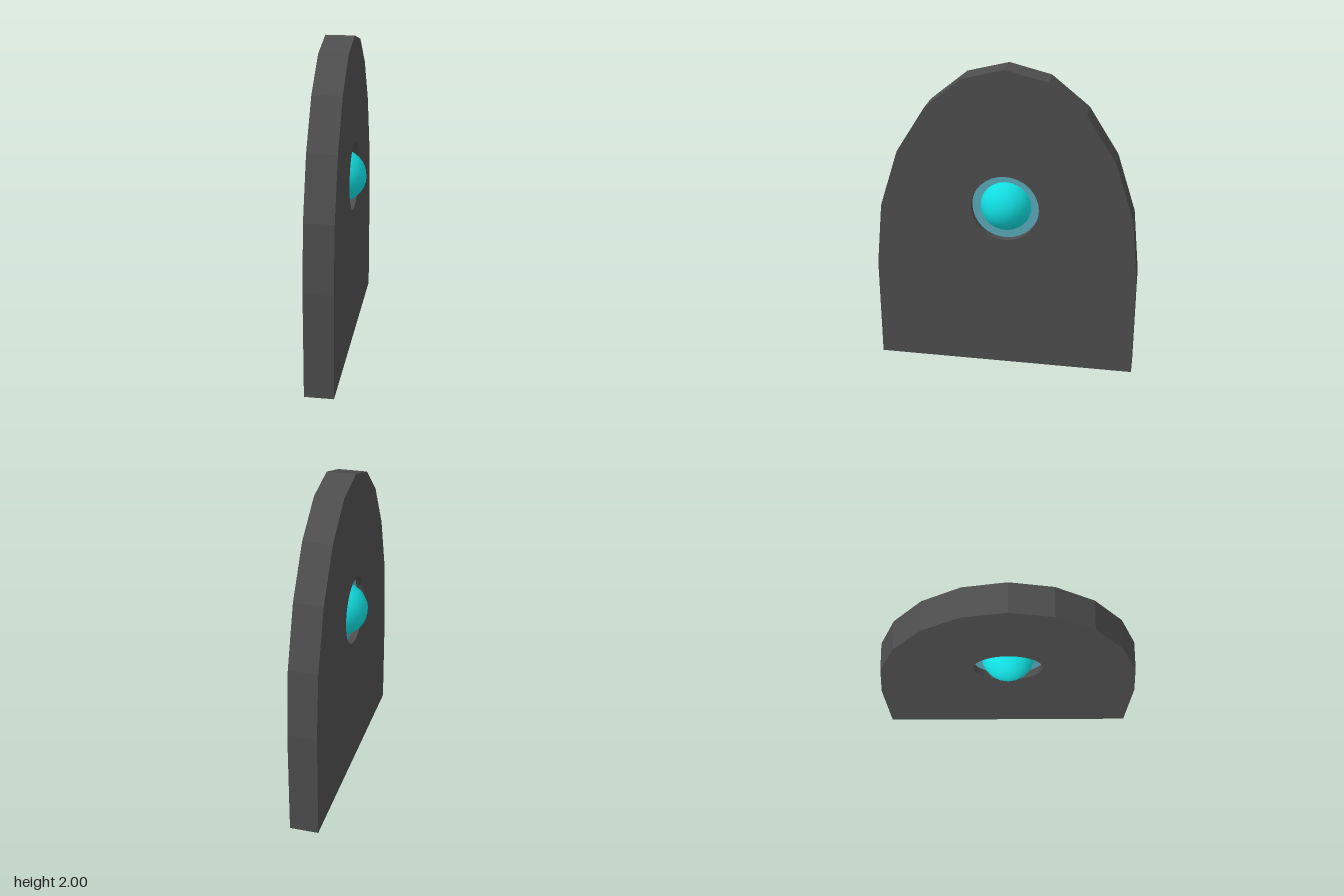
import * as THREE from 'three';

const THICKNESS = 0.18;
const HOLE = { y: 1.11, r: 0.215 };

export function createModel() {
  const model = new THREE.Group();
  const add = (name, geometry, color) => {
    const mesh = new THREE.Mesh(geometry, new THREE.MeshStandardMaterial({ color }));
    mesh.name = name;
    model.add(mesh);
    return mesh;
  };

  // Arched slab: straight base below a faceted half ellipse, pierced by a round hole
  const outline = [new THREE.Vector2(-0.84, 0), new THREE.Vector2(0.84, 0)];
  for (let i = 0; i <= 10; i++) {
    const a = (i / 10) * Math.PI;
    outline.push(new THREE.Vector2(0.84 * Math.cos(a), 0.67 + 1.33 * Math.sin(a)));
  }
  const shape = new THREE.Shape(outline);
  shape.holes.push(new THREE.Path().absarc(0, HOLE.y, HOLE.r, 0, Math.PI * 2, true));
  const slab = new THREE.ExtrudeGeometry(shape, { depth: THICKNESS, bevelEnabled: false, curveSegments: 16 });
  slab.translate(0, 0, -THICKNESS / 2).rotateY(Math.PI / 2);
  add('archedSlab', slab, 0x4d4d4d);

  // Recessed disc filling the middle of the hole
  const disc = new THREE.CylinderGeometry(HOLE.r, HOLE.r, THICKNESS / 2, 32);
  disc.rotateZ(Math.PI / 2);
  add('recessedDisc', disc, 0x5aaabb).position.y = HOLE.y;

  // Ball bulging out of both sides of the disc
  add('ball', new THREE.SphereGeometry(0.168, 20, 24), 0x11dde0).position.y = HOLE.y;

  return model;
}
